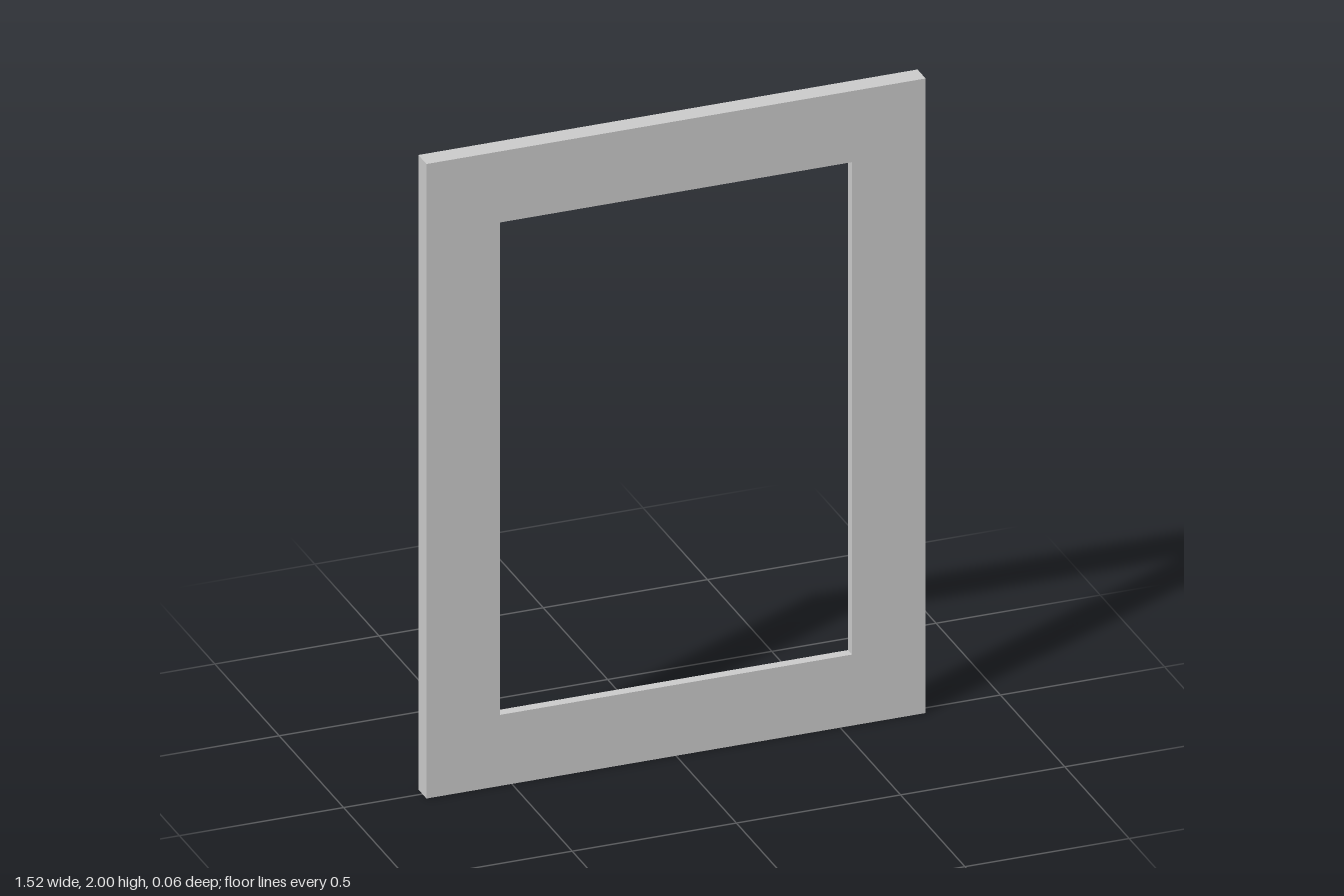
import * as THREE from 'three';

const WIDTH = 1.52, HEIGHT = 2, DEPTH = 0.063;
const BORDER = 0.224; // outer edge to opening
const RIM = 0.045;    // outer edge to rear recess

// Rectangle inset from the outer edge
function outline(Type, inset) {
  const x = WIDTH / 2 - inset, y0 = inset, y1 = HEIGHT - inset;
  return new Type([
    new THREE.Vector2(-x, y0), new THREE.Vector2(x, y0),
    new THREE.Vector2(x, y1), new THREE.Vector2(-x, y1),
  ]);
}

// Flat rectangular ring, extruded from z0 to z1
function ring(name, outer, inner, z0, z1, material) {
  const shape = outline(THREE.Shape, outer);
  shape.holes.push(outline(THREE.Path, inner));
  const geometry = new THREE.ExtrudeGeometry(shape, { depth: z1 - z0, bevelEnabled: false });
  geometry.translate(0, 0, z0);
  const mesh = new THREE.Mesh(geometry, material);
  mesh.name = name;
  return mesh;
}

export function createModel() {
  const group = new THREE.Group();
  group.name = 'pictureFrame';
  const material = new THREE.MeshStandardMaterial({ color: 0xcccccc });

  // Wide front border around the opening
  group.add(ring('frontBorder', 0, BORDER, 0, DEPTH / 2, material));
  // Narrow rim behind it, leaving the rear recess
  group.add(ring('rearRim', 0, RIM, -DEPTH / 2, 0, material));
  return group;
}
